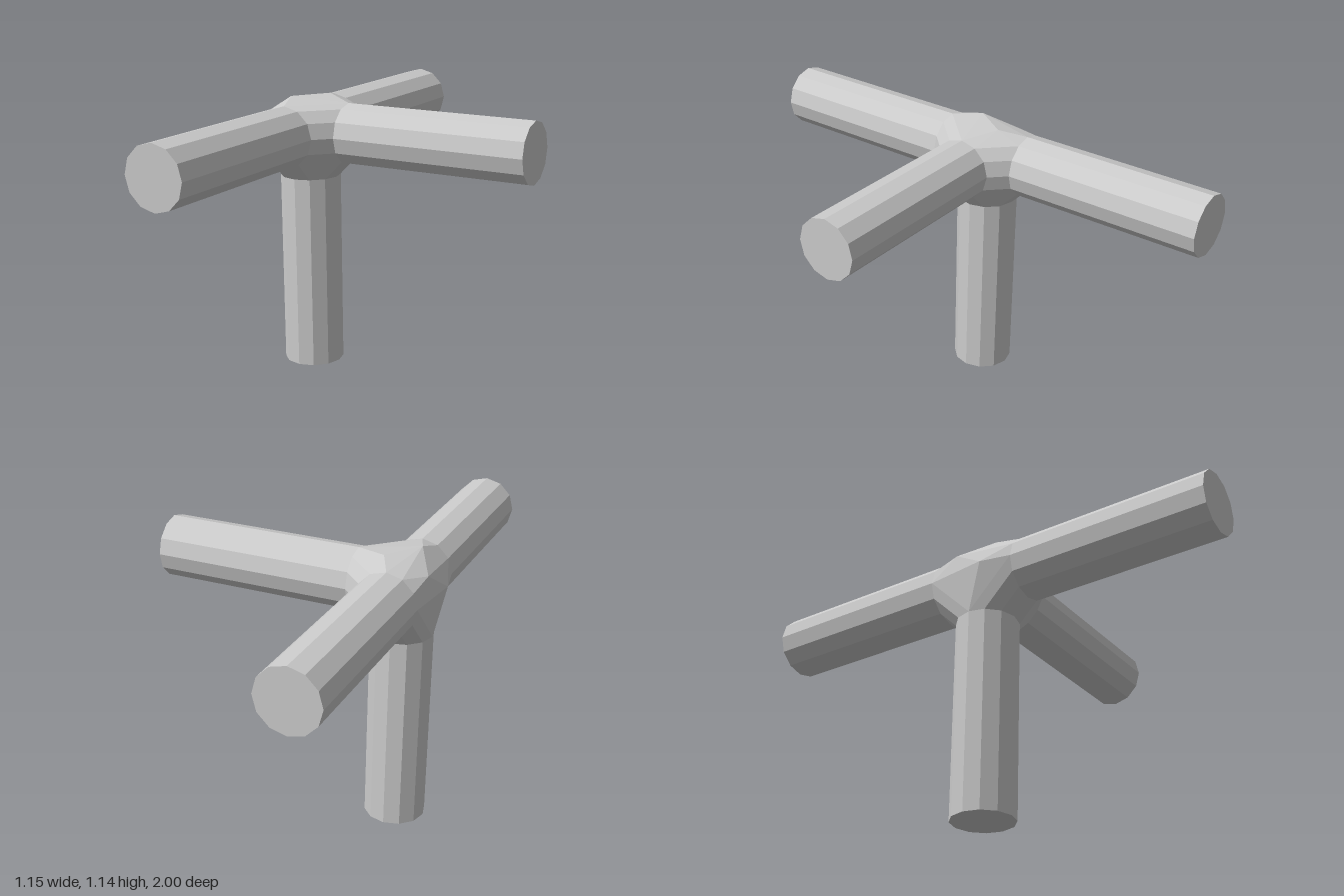
import * as THREE from 'three';
import { ConvexGeometry } from 'three/addons/geometries/ConvexGeometry.js';

const SIDES = 12, RADIUS = 0.125, REACH = 1, COLLAR = 0.1875;

export function createModel() {
  const group = new THREE.Group();
  const material = new THREE.MeshStandardMaterial({ color: 0xcccccc, flatShading: true });
  const joint = new THREE.Group();
  joint.name = 'pipeJoint';
  joint.position.set(-0.425, 1, 0);
  group.add(joint);

  const arms = {
    frontArm: [0, 0, 1],
    backArm: [0, 0, -1],
    sideArm: [1, 0, 0],
    leg: [0, -1, 0],
  };
  const hubPoints = [];
  const up = new THREE.Vector3(0, 1, 0);

  for (const [name, dir] of Object.entries(arms)) {
    const axis = new THREE.Vector3(...dir);
    const turn = new THREE.Quaternion().setFromUnitVectors(up, axis);

    // Twelve-sided bar from the hub collar to its outer end
    const bar = new THREE.Mesh(
      new THREE.CylinderGeometry(RADIUS, RADIUS, REACH - COLLAR, SIDES), material);
    bar.name = name;
    bar.quaternion.copy(turn);
    bar.position.copy(axis).multiplyScalar((REACH + COLLAR) / 2);
    joint.add(bar);

    // Ring where this bar meets the hub
    for (let i = 0; i < SIDES; i++) {
      const a = (i / SIDES) * Math.PI * 2;
      hubPoints.push(new THREE.Vector3(Math.sin(a) * RADIUS, COLLAR, Math.cos(a) * RADIUS)
        .applyQuaternion(turn));
    }
  }

  // Tilted icosahedral core (six opposite pairs) that bulges past the collars
  const core = [
    [-0.045, 0.145, 0.065], [0.053, 0.145, -0.08], [-0.12, 0.087, -0.07],
    [-0.153, 0, 0.065], [0.124, 0.092, 0.07], [0, 0, 0.165],
  ];
  for (const p of core) {
    const v = new THREE.Vector3(...p);
    hubPoints.push(v, v.clone().negate());
  }

  // Faceted hub wrapped around the collars and the core
  const hub = new THREE.Mesh(new ConvexGeometry(hubPoints), material);
  hub.name = 'hub';
  joint.add(hub);

  return group;
}
